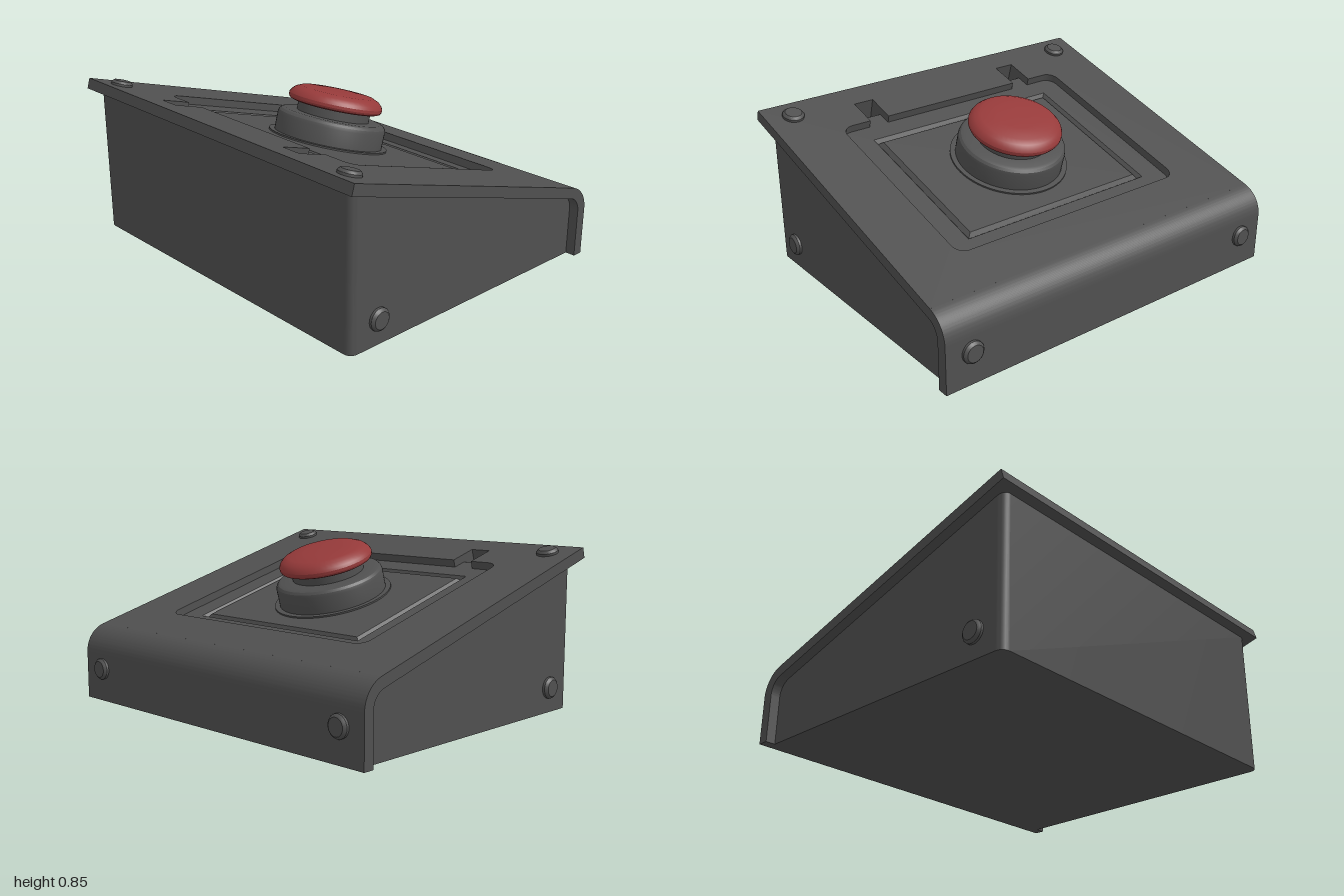
import * as THREE from 'three';
import { toCreasedNormals } from 'three/addons/utils/BufferGeometryUtils.js';

const TILT = Math.atan(0.2886);
const SURFACE_Y = 0.586; // height of the sloped surface at z = 0
const THICK = 0.055;
const BEND = { z: -0.655, y: 0.246, outer: 0.145, inner: 0.09 };

// Skin a series of closed loops of [x, y, z] points
function skin(loops) {
  const n = loops[0].length, index = [];
  for (let i = 0; i < loops.length - 1; i++) {
    for (let j = 0; j < n; j++) {
      const k = (j + 1) % n;
      const a = i * n + j, b = i * n + k, c = b + n, d = a + n;
      index.push(a, b, c, a, c, d);
    }
  }
  const g = new THREE.BufferGeometry();
  g.setAttribute('position', new THREE.Float32BufferAttribute(loops.flat(2), 3));
  g.setIndex(index);
  return toCreasedNormals(g, 0.6);
}

// Flat slab in the (x, z) plane, reaching down from its top height
function slab(shape, top, depth) {
  const g = new THREE.ExtrudeGeometry(shape, { depth, bevelEnabled: false, curveSegments: 8 });
  return toCreasedNormals(g.rotateX(Math.PI / 2).translate(0, top, 0), 0.6);
}

function rect(x0, z0, x1, z1) {
  return new THREE.Shape([[x0, z0], [x1, z0], [x1, z1], [x0, z1]].map((p) => new THREE.Vector2(...p)));
}

function lathe(points, segments) {
  const g = new THREE.LatheGeometry(points.map((p) => new THREE.Vector2(...p)), segments);
  return toCreasedNormals(g, 0.45);
}

// Rounded recess with two hinge notches on its front edge
function recessOutline(notchEnd) {
  const w = 0.69, z0 = -0.494, z1 = 0.546, r = 0.06;
  const s = new THREE.Shape();
  s.moveTo(-w + r, z0);
  s.lineTo(w - r, z0);
  s.absarc(w - r, z0 + r, r, -Math.PI / 2, 0);
  s.absarc(w - r, z1 - r, r, 0, Math.PI / 2);
  for (const [a, b] of [[0.52, 0.41], [-0.41, -0.52]]) {
    s.lineTo(a, z1);
    s.lineTo(a, notchEnd);
    s.lineTo(b, notchEnd);
    s.lineTo(b, z1);
  }
  s.absarc(-w + r, z1 - r, r, Math.PI / 2, Math.PI);
  s.absarc(-w + r, z0 + r, r, Math.PI, Math.PI * 1.5);
  return s;
}

export function createModel() {
  const model = new THREE.Group();
  const grey = new THREE.MeshStandardMaterial({ color: 0x505050 });
  grey.name = 'dark grey';
  const red = new THREE.MeshStandardMaterial({ color: 0x963a3a });
  red.name = 'button red';

  const add = (parent, name, geometry, material = grey) => {
    const m = new THREE.Mesh(geometry, material);
    m.name = name;
    parent.add(m);
    return m;
  };

  // Body: plan outline with rounded front corners, topped by the slope and bend
  const half = [];
  for (let i = 0; i <= 6; i++) {
    const a = (i / 6) * Math.PI / 2;
    half.push([0.91 + 0.04 * Math.sin(a), 0.74 + 0.04 * Math.cos(a)]);
  }
  for (let i = 0; i <= 8; i++) {
    const a = TILT + (i / 8) * (Math.PI / 2 - TILT);
    half.push([0.95, BEND.z - BEND.inner * Math.sin(a)]);
  }
  const plan = [...half, ...half.map(([x, z]) => [-x, z]).reverse()];
  const bendStart = BEND.z - BEND.inner * Math.sin(TILT);
  const topY = (z) => z >= bendStart - 1e-6
    ? SURFACE_Y - THICK / Math.cos(TILT) + Math.tan(TILT) * z
    : BEND.y + Math.sqrt(Math.max(0, BEND.inner ** 2 - (z - BEND.z) ** 2));
  add(model, 'bodyWalls', skin([
    plan.map(([x, z]) => [x, 0, z]),
    plan.map(([x, z]) => [x, topY(z), z]),
  ]));
  const baseShape = new THREE.Shape(plan.map((p) => new THREE.Vector2(...p)));
  add(model, 'bodyBase', new THREE.ShapeGeometry(baseShape).rotateX(Math.PI / 2));

  // Cover bend and back flange
  const bend = new THREE.Shape();
  bend.absarc(BEND.z, BEND.y, BEND.outer, Math.PI / 2 + TILT, Math.PI, false);
  bend.lineTo(BEND.z - BEND.outer, 0);
  bend.lineTo(BEND.z - BEND.inner, 0);
  bend.absarc(BEND.z, BEND.y, BEND.inner, Math.PI, Math.PI / 2 + TILT, true);
  const bendGeometry = new THREE.ExtrudeGeometry(bend, { depth: 2, bevelEnabled: false, curveSegments: 14 });
  bendGeometry.rotateY(-Math.PI / 2).translate(1, 0, 0);
  add(model, 'coverBackFlange', toCreasedNormals(bendGeometry, 0.6));

  // Everything on the sloped surface shares one tilted frame
  const deck = new THREE.Group();
  deck.name = 'slopedDeck';
  deck.position.y = SURFACE_Y;
  deck.rotation.x = -TILT;
  model.add(deck);

  const sheet = rect(-1, -0.7236, 1, 0.843);
  sheet.holes.push(recessOutline(0.708));
  add(deck, 'coverSheet', slab(sheet, 0, THICK));

  // Recessed floor with a rectangular V groove around the centre panel
  const mid = 0.022, floorY = -0.04;
  const frame = (hx, hz) => rect(-hx, mid - hz, hx, mid + hz);
  const floor = recessOutline(0.623);
  floor.holes.push(frame(0.56, 0.419));
  add(deck, 'recessFloor', slab(floor, floorY, 0.015));
  add(deck, 'centrePanel', slab(frame(0.525, 0.383), floorY, 0.015));
  const ring = (hx, hz, y) => [
    [-hx, y, mid + hz], [hx, y, mid + hz], [hx, y, mid - hz], [-hx, y, mid - hz],
  ];
  add(deck, 'panelGroove', skin([
    ring(0.56, 0.419, floorY), ring(0.5425, 0.401, -0.06), ring(0.525, 0.383, floorY),
  ]));

  // Deep hinge pockets at the ends of the notches
  for (const side of [-1, 1]) {
    const cx = side * 0.465;
    const liner = rect(cx - 0.09, 0.6, cx + 0.09, 0.73);
    liner.holes.push(rect(cx - 0.055, 0.623, cx + 0.055, 0.708));
    add(deck, 'hingePocket', slab(liner, -THICK, 0.115));
    add(deck, 'hingePocketFloor', slab(rect(cx - 0.09, 0.6, cx + 0.09, 0.73), -0.166, 0.015));
  }

  // Push button
  const button = new THREE.Group();
  button.name = 'pushButton';
  button.position.z = 0.034;
  deck.add(button);
  add(button, 'buttonFlange', lathe([[0.305, -0.05], [0.305, -0.032], [0.27, -0.032]], 64));
  add(button, 'buttonCollar', lathe([
    [0.278, -0.045], [0.278, 0.055], [0.274, 0.07], [0.264, 0.081], [0.248, 0.087], [0.17, 0.087],
  ], 64));
  add(button, 'buttonNeck', lathe([[0.186, 0.08], [0.186, 0.15]], 48));
  add(button, 'buttonCap', lathe([
    [0.17, 0.135], [0.22, 0.135], [0.234, 0.141], [0.24, 0.152], [0.24, 0.166],
    [0.233, 0.18], [0.215, 0.197], [0.185, 0.21], [0.1, 0.217], [0, 0.219],
  ], 48), red);

  // Bolts on the deck, sides and back
  const boltGeometry = lathe([
    [0.055, -0.005], [0.055, 0.012], [0.051, 0.018], [0.042, 0.025], [0, 0.025],
  ], 24);
  for (const side of [-1, 1]) {
    add(deck, 'deckBolt', boltGeometry).position.set(side * 0.86, 0, 0.734);
    const sideBolt = add(model, 'sideBolt', boltGeometry);
    sideBolt.position.set(side * 0.95, 0.127, 0.615);
    sideBolt.rotation.z = -side * Math.PI / 2;
    const backBolt = add(model, 'backBolt', boltGeometry);
    backBolt.position.set(side * 0.86, 0.17, -0.8);
    backBolt.rotation.x = -Math.PI / 2;
  }
  return model;
}
